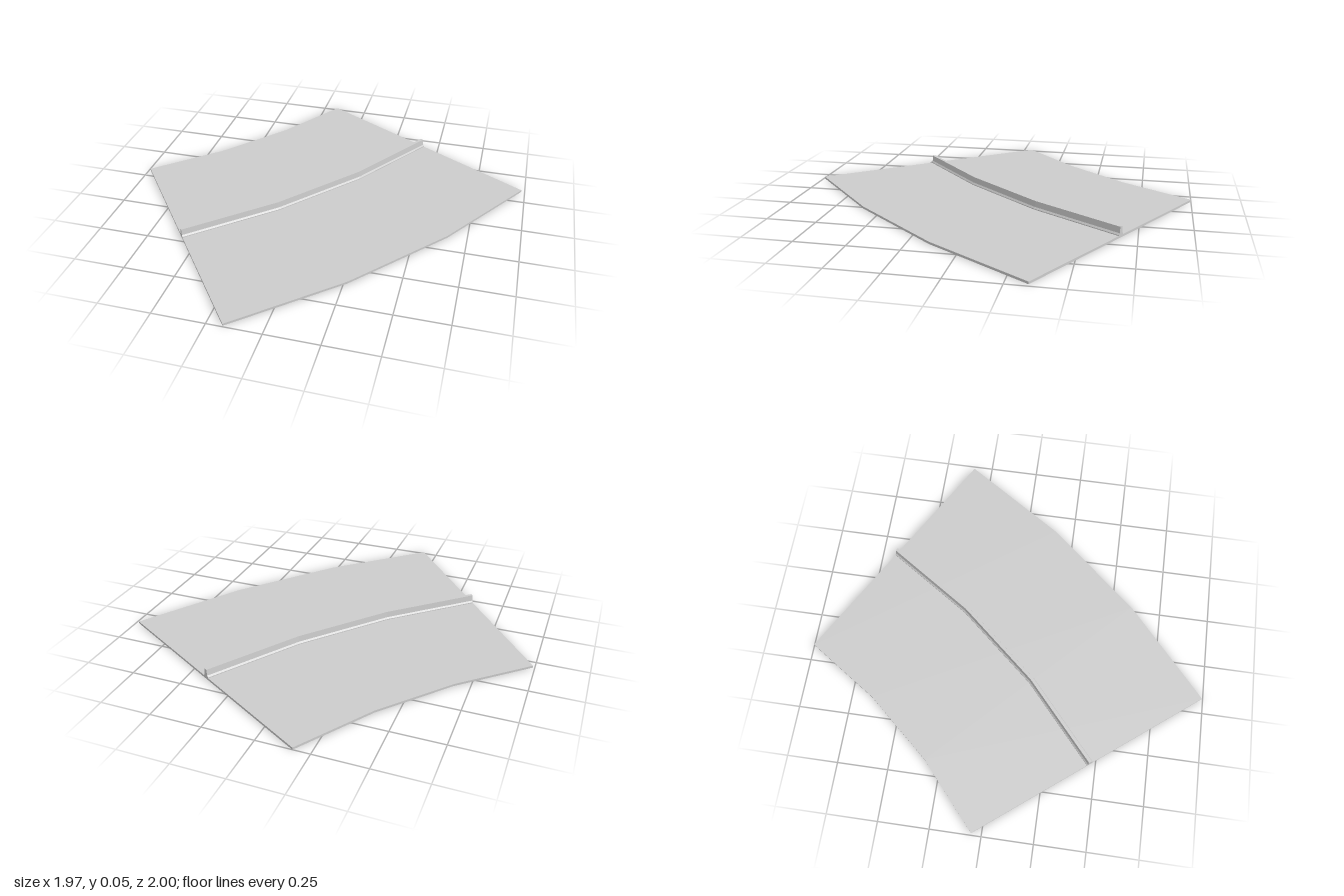
import * as THREE from 'three';

// Arc shared by all parts: centre, start angle and sweep, in three straight segments
const CX = -2.969, CZ = -2.587;
const START = THREE.MathUtils.degToRad(29.55);
const SWEEP = THREE.MathUtils.degToRad(22.5);
const SEGMENTS = 3;

// Extrudes a [radius, height] cross-section, then bends it around the arc
function sweepAlongArc(name, profile, material) {
  const shape = new THREE.Shape(profile.map(([r, y]) => new THREE.Vector2(r, y)));
  const geometry = new THREE.ExtrudeGeometry(shape, { depth: 1, steps: SEGMENTS, bevelEnabled: false });
  const pos = geometry.attributes.position;
  for (let i = 0; i < pos.count; i++) {
    const r = pos.getX(i);
    const a = START + pos.getZ(i) * SWEEP;
    pos.setXYZ(i, CX + r * Math.cos(a), pos.getY(i), CZ + r * Math.sin(a));
  }
  geometry.computeVertexNormals();
  const mesh = new THREE.Mesh(geometry, material);
  mesh.name = name;
  return mesh;
}

export function createModel() {
  const group = new THREE.Group();
  group.name = 'curvedRoadSection';
  const material = new THREE.MeshStandardMaterial({ color: 0xcccccc, flatShading: true });

  // Thin curved road slab
  const inner = 3.217, outer = 4.542, top = 0.011;
  group.add(sweepAlongArc('roadSlab', [[inner, 0], [outer, 0], [outer, top], [inner, top]], material));

  // Median barrier: wide foot, sloped shoulder, slightly tapered wall
  const mid = (inner + outer) / 2;
  const half = [[0.017, top], [0.017, 0.015], [0.011, 0.023], [0.008, 0.053]];
  const right = half.map(([w, y]) => [mid + w, y]);
  const left = half.map(([w, y]) => [mid - w, y]).reverse();
  group.add(sweepAlongArc('medianBarrier', [...right, ...left], material));

  return group;
}
